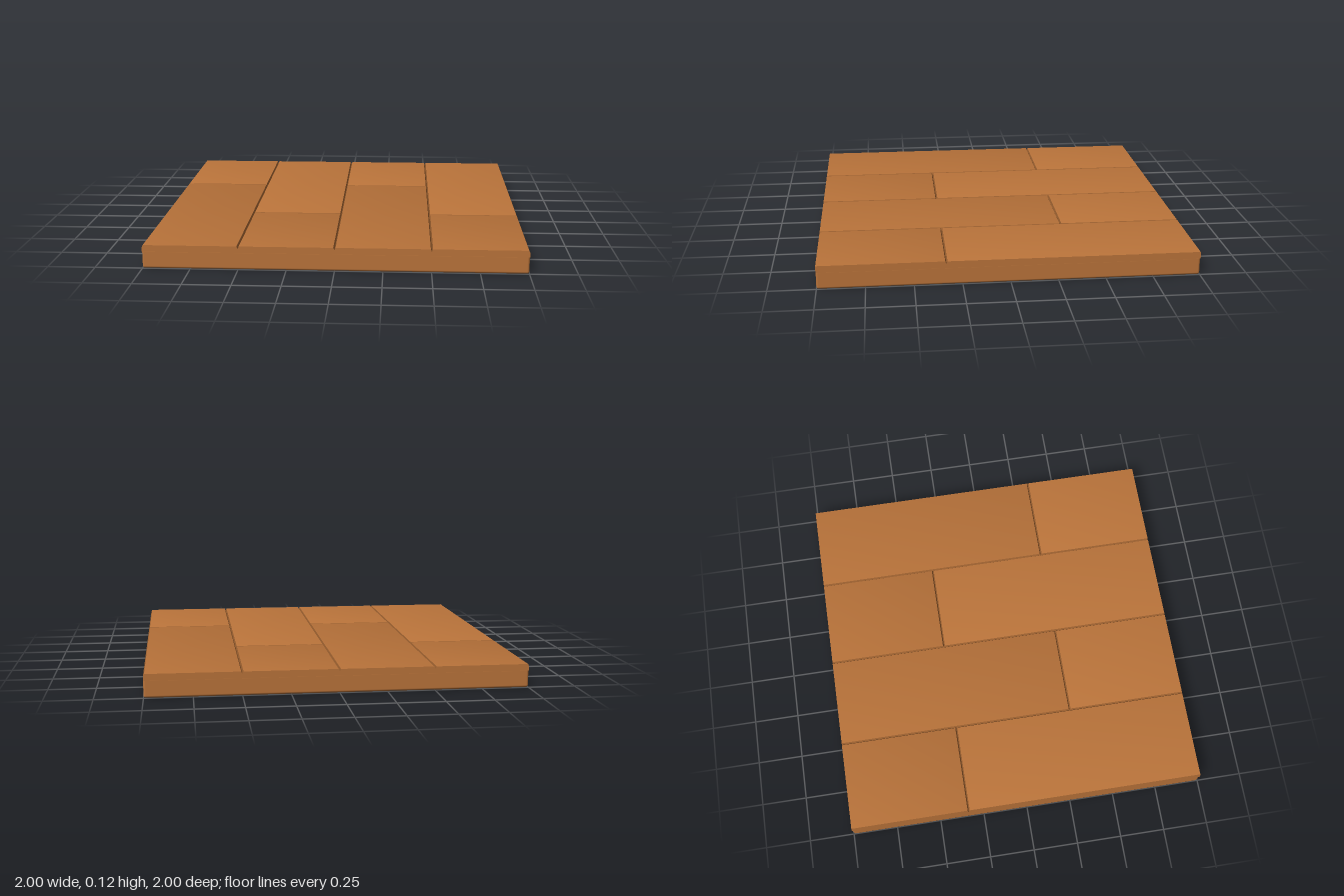
import * as THREE from 'three';
import { RoundedBoxGeometry } from 'three/addons/geometries/RoundedBoxGeometry.js';

const BOTTOM = 0.09, EDGE = 0.112, TOP = 0.125, BEVEL = 0.006;

// Board with bevelled long edges; only the end at the joint is bevelled.
function plankGeometry(width, z0, z1) {
  const length = z1 - z0;
  const geo = new THREE.BoxGeometry(width, 2, length, 1, 2, 1);
  const pos = geo.attributes.position;
  const zMid = (z0 + z1) / 2;
  const isJoint = (z) => Math.abs(z + zMid) < 0.9;
  for (let i = 0; i < pos.count; i++) {
    const x = pos.getX(i), y = pos.getY(i), z = pos.getZ(i);
    if (y > 0.5) {
      pos.setX(i, x - Math.sign(x) * BEVEL);
      if (isJoint(z)) pos.setZ(i, z - Math.sign(z) * BEVEL);
    }
    pos.setY(i, y > 0.5 ? TOP : y > -0.5 ? EDGE : BOTTOM);
  }
  // Soften the top face towards its bevelled edges.
  const nor = geo.attributes.normal;
  const n = new THREE.Vector3();
  for (let i = 0; i < pos.count; i++) {
    n.fromBufferAttribute(nor, i);
    if (n.y < 0.5) continue;
    const z = pos.getZ(i);
    n.set(Math.sign(pos.getX(i)) * 0.1, 1, isJoint(z) ? Math.sign(z) * 0.2 : 0).normalize();
    nor.setXYZ(i, n.x, n.y, n.z);
  }
  return geo.translate(0, 0, zMid);
}

export function createModel() {
  const group = new THREE.Group();
  group.name = 'plankFloor';
  const wood = new THREE.MeshStandardMaterial({ color: 0xb9733a });

  // Base slab with softly rounded edges
  const slab = new THREE.Mesh(new RoundedBoxGeometry(2, 0.1, 2, 3, 0.012), wood);
  slab.name = 'baseSlab';
  slab.position.y = 0.05;
  group.add(slab);

  // Four rows of two boards with staggered joints
  for (let row = 0; row < 4; row++) {
    const joint = row % 2 ? 0.333 : -0.335;
    [[-1, joint], [joint, 1]].forEach(([z0, z1], k) => {
      const plank = new THREE.Mesh(plankGeometry(0.5, z0, z1), wood);
      plank.name = `${k ? 'front' : 'back'}Plank${row + 1}`;
      plank.position.x = -0.75 + row * 0.5;
      group.add(plank);
    });
  }
  return group;
}
